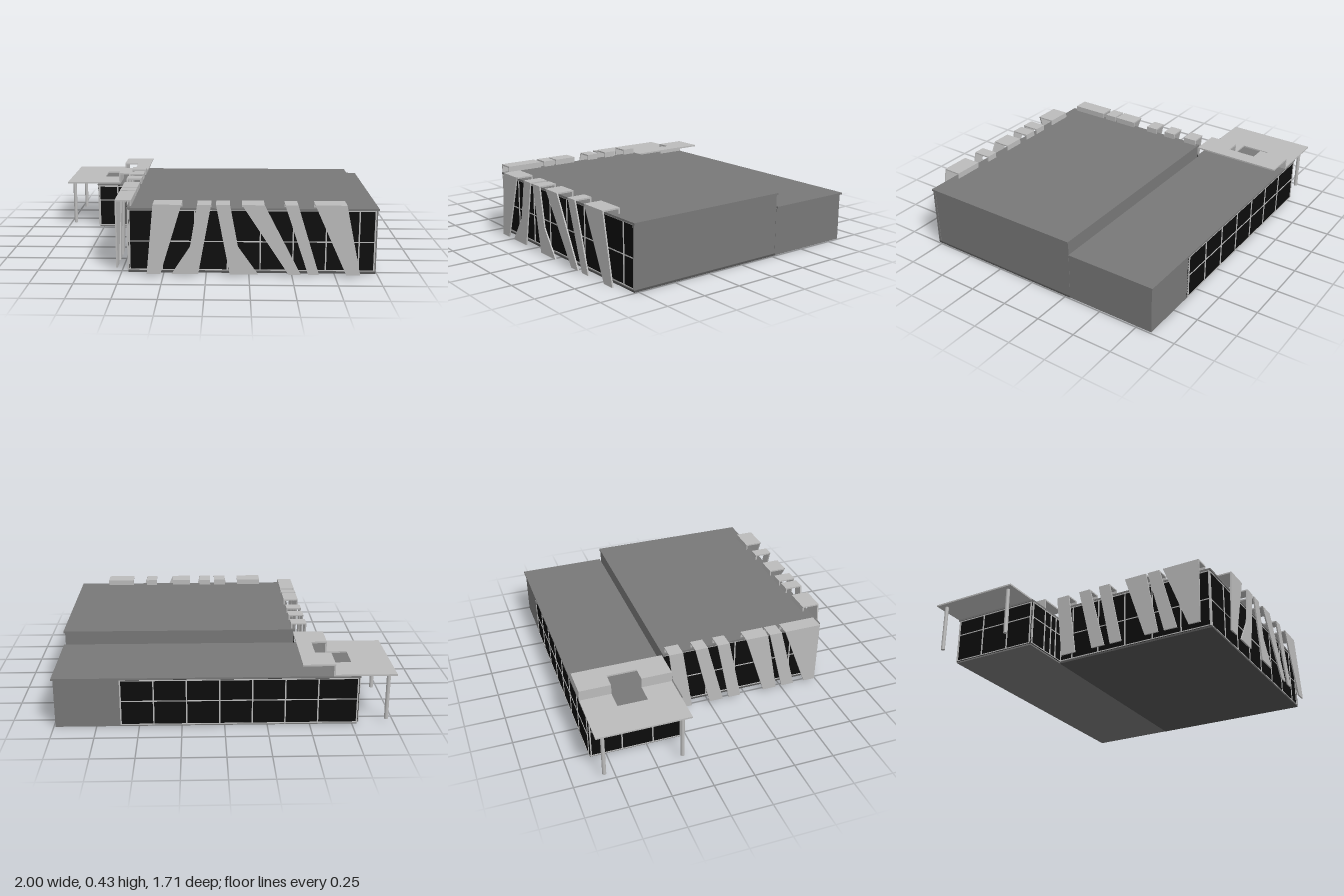
import * as THREE from 'three';

const mat = (name, color) => {
  const m = new THREE.MeshStandardMaterial({ color });
  m.name = name;
  return m;
};

export function createModel() {
  const wall = mat('wallGrey', 0x787878);
  const light = mat('paleMetal', 0xbcbcbc);
  const glass = mat('blackGlass', 0x0c0c0c);
  const trim = mat('plinthGrey', 0x555555);
  const model = new THREE.Group();
  model.name = 'pavilion';

  // Box from its minimum and maximum corners
  const box = (name, m, x0, x1, y0, y1, z0, z1, parent = model) => {
    const b = new THREE.Mesh(new THREE.BoxGeometry(x1 - x0, y1 - y0, z1 - z0), m);
    b.position.set((x0 + x1) / 2, (y0 + y1) / 2, (z0 + z1) / 2);
    b.name = name;
    parent.add(b);
    return b;
  };

  // Flat outline pushed along z
  const slab = (name, m, pts, z0, z1, parent = model) => {
    const shape = new THREE.Shape(pts.map(p => new THREE.Vector2(...p)));
    const geo = new THREE.ExtrudeGeometry(shape, { depth: z1 - z0, bevelEnabled: false });
    const s = new THREE.Mesh(geo, m);
    s.position.z = z0;
    s.name = name;
    parent.add(s);
  };

  // Local frame of a wall: x runs along it, z points outward
  const frame = (name, x, z, turn) => {
    const g = new THREE.Group();
    g.name = name;
    g.position.set(x, 0, z);
    g.rotation.y = turn;
    model.add(g);
    return g;
  };
  const WEST = -Math.PI / 2;

  // Main hall and lower rear wing
  box('mainHall', wall, -0.455, 0.99, 0.012, 0.38, -0.28, 0.765);
  box('rearWing', wall, -0.78, 0.99, 0.0, 0.295, -0.845, -0.281);
  box('mainPlinth', trim, -0.46, 0.993, 0, 0.012, -0.281, 0.775);
  box('mainRoof', wall, -0.465, 1, 0.38, 0.392, -0.285, 0.78);
  box('wingRoof', wall, -0.79, 1, 0.295, 0.306, -0.855, -0.286);
  box('wingRoofFrontEdge', wall, -0.79, -0.465, 0.295, 0.306, -0.286, -0.275);
  // East wall end that closes the front glazing
  box('frontEndWall', wall, 0.986, 0.993, 0.012, 0.38, 0.76, 0.777);

  // Thin glass with a grid of mullions
  const glazing = (g, u0, u1, y0, y1, bars, midY) => {
    box('glass', glass, u0, u1, y0, y1, 0, 0.005, g);
    bars.forEach(u => box('mullion', light, u - 0.004, u + 0.004, y0, y1, 0, 0.009, g));
    [y0 + 0.003, midY, y1 - 0.003].forEach(y =>
      box('transom', light, u0, u1, y - 0.003, y + 0.003, 0, 0.008, g));
  };
  const steps = (start, step, n) => Array.from({ length: n }, (_, i) => start + i * step);

  glazing(frame('frontGlazing', 0, 0.765, 0), -0.455, 0.986, 0.014, 0.38,
    [...steps(-0.45, 0.1915, 8), 0.982], 0.19);
  glazing(frame('sideGlazing', -0.455, 0, WEST), -0.278, 0.77, 0.014, 0.38,
    steps(-0.19, 0.1915, 6), 0.19);
  glazing(frame('wingFrontGlazing', 0, -0.281, 0), -0.78, -0.456, 0.01, 0.292,
    [-0.776, -0.65, -0.585, -0.53, -0.464], 0.19);
  glazing(frame('wingSideGlazing', -0.78, 0, WEST), -0.845, -0.283, 0.01, 0.292,
    [-0.84, -0.65, -0.46, -0.287], 0.19);
  glazing(frame('backGlazing', 0, -0.845, Math.PI), -0.61, 0.78, 0.01, 0.292,
    [...steps(-0.606, 0.192, 7), 0.776], 0.16);

  // Leaning folded fins: [top start, top end, bottom start, bottom end, kink start, kink end]
  const TOP = 0.428, FOOT = 0.014, KINK = 0.18, T = 0.009;
  const fins = (g, list, depth) => list.forEach(([t0, t1, b0, b1, k0, k1]) => {
    const pts = [[b0, FOOT], [b1, FOOT]];
    if (k1 !== undefined) pts.push([k1, KINK]);
    pts.push([t1, TOP], [t0, TOP]);
    if (k0 !== undefined) pts.push([k0, KINK]);
    slab('finFace', light, pts, -T, 0, g);
    box('finCap', light, t0, t1, TOP - T, TOP, -depth, -T, g);
    box('finReturn', light, t0, t1, 0.39, TOP - T, -depth, -depth + T, g);
  });

  fins(frame('frontFins', 0, 0.85, 0), [
    [-0.305, -0.14, -0.345, -0.265],
    [-0.05, 0.03, -0.2, -0.045, -0.092],
    [0.058, 0.138, 0.138, 0.303, undefined, 0.185],
    [0.207, 0.335, 0.48, 0.55],
    [0.453, 0.527, 0.592, 0.655],
    [0.624, 0.805, 0.812, 0.893],
  ], 0.115);

  fins(frame('sideFins', -0.537, 0, WEST), [
    [-0.268, -0.18, -0.22, -0.12],
    [-0.1, -0.02, 0, 0.09],
    [0.045, 0.123, 0.13, 0.21],
    [0.235, 0.382, 0.37, 0.46],
    [0.395, 0.475, 0.5, 0.585],
    [0.5, 0.74, 0.66, 0.735],
  ], 0.097);

  // Stepped canopy with an opening through its riser
  const profile = [[-1, 0.306], [-0.63, 0.306], [-0.63, 0.37], [-0.45, 0.37],
    [-0.45, 0.38], [-0.64, 0.38], [-0.64, 0.316], [-1, 0.316]];
  slab('canopyBack', light, profile, -0.857, -0.662);
  slab('canopyFront', light, profile, -0.478, -0.288);
  box('canopyLowEdge', light, -1, -0.763, 0.306, 0.316, -0.662, -0.478);
  box('canopyHighEdge', light, -0.543, -0.45, 0.37, 0.38, -0.662, -0.478);

  // Canopy posts
  [-0.81, -0.335].forEach(z => {
    const post = new THREE.Mesh(new THREE.CylinderGeometry(0.012, 0.012, 0.294, 16), light);
    post.position.set(-0.96, 0.161, z);
    post.name = 'canopyPost';
    model.add(post);
  });

  return model;
}
